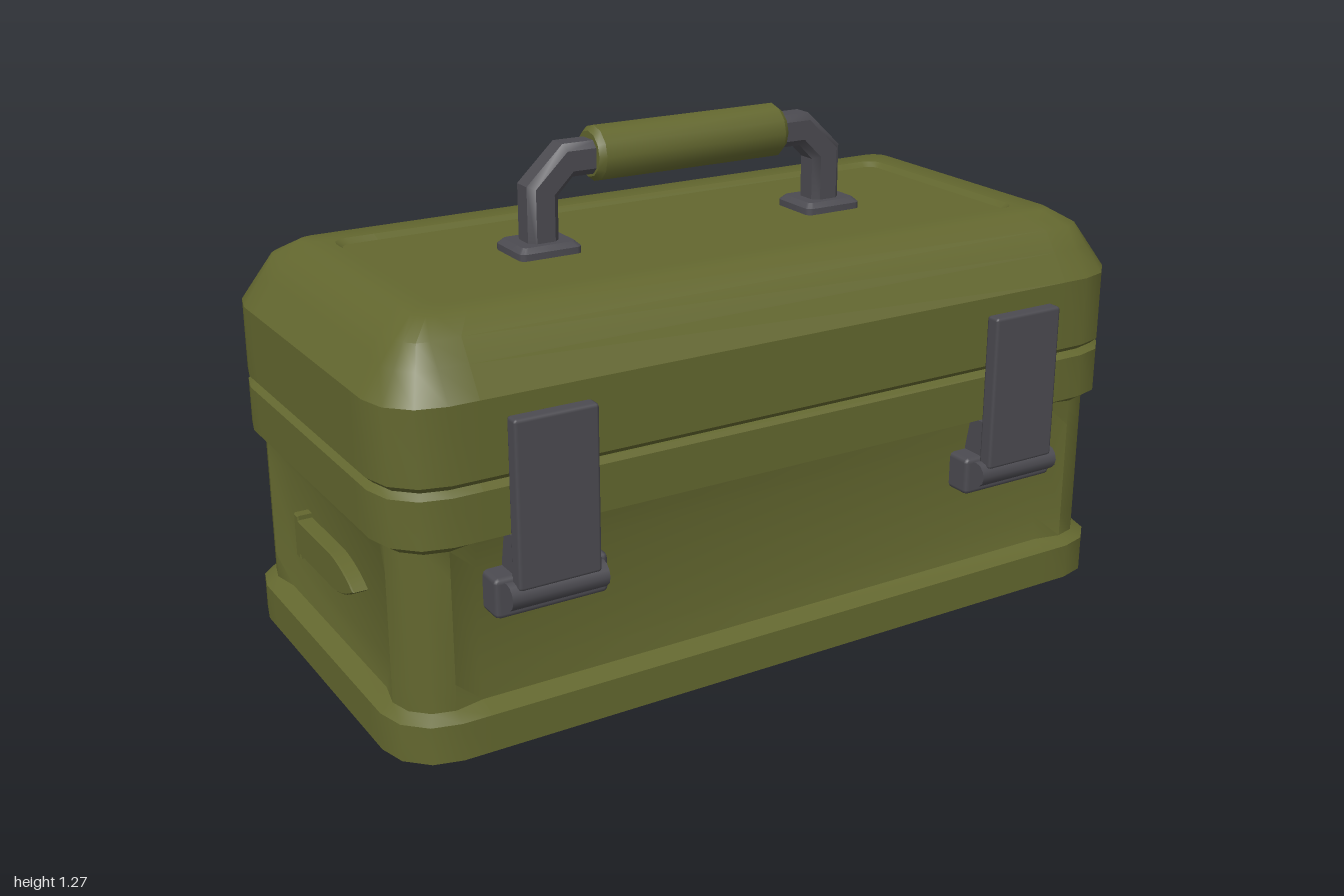
import * as THREE from 'three';
import { toCreasedNormals } from 'three/addons/utils/BufferGeometryUtils.js';
import { RoundedBoxGeometry } from 'three/addons/geometries/RoundedBoxGeometry.js';

const olive = new THREE.MeshStandardMaterial({ color: 0x63672f });
olive.name = 'olive paint';
const steel = new THREE.MeshStandardMaterial({ color: 0x4c4b51 });
steel.name = 'dark steel';

function add(parent, name, geometry, material, x = 0, y = 0, z = 0) {
  const mesh = new THREE.Mesh(geometry, material);
  mesh.name = name;
  mesh.position.set(x, y, z);
  parent.add(mesh);
  return mesh;
}

function group(parent, name, x = 0, y = 0, z = 0) {
  const g = new THREE.Group();
  g.name = name;
  g.position.set(x, y, z);
  parent.add(g);
  return g;
}

// Skin a list of equal-length point rings and close both ends
function loft(rings) {
  const n = rings[0].length, pos = [], index = [];
  rings.forEach(r => r.forEach(p => pos.push(...p)));
  for (let i = 0; i < rings.length - 1; i++) {
    for (let j = 0; j < n; j++) {
      const k = (j + 1) % n, a = i * n + j, b = i * n + k, c = b + n, d = a + n;
      index.push(a, d, c, a, c, b);
    }
  }
  [0, rings.length - 1].forEach((i, end) => {
    const centre = [0, 1, 2].map(c => rings[i].reduce((s, p) => s + p[c], 0) / n);
    const m = pos.length / 3;
    pos.push(...centre);
    for (let j = 0; j < n; j++) {
      const a = i * n + j, b = i * n + (j + 1) % n;
      if (end) index.push(m, b, a); else index.push(m, a, b);
    }
  });
  const g = new THREE.BufferGeometry();
  g.setAttribute('position', new THREE.Float32BufferAttribute(pos, 3));
  g.setIndex(index);
  return toCreasedNormals(g, 0.58);
}

// Rounded rectangle at height y; recess pushes the middle of each side inward
function rectRing(hx, hz, r, y, recess = 0) {
  const pts = [], step = 0.07;
  [[1, 1], [-1, 1], [-1, -1], [1, -1]].forEach(([sx, sz], q) => {
    const cx = sx * (hx - r), cz = sz * (hz - r);
    const a0 = q * Math.PI / 2, a1 = a0 + Math.PI / 2;
    const c0 = Math.cos(a0), s0 = Math.sin(a0), c1 = Math.cos(a1), s1 = Math.sin(a1);
    pts.push([cx + c0 * (r - recess) - c1 * step, y, cz + s0 * (r - recess) - s1 * step]);
    for (let i = 0; i <= 3; i++) {
      const a = a0 + i * Math.PI / 6;
      pts.push([cx + Math.cos(a) * r, y, cz + Math.sin(a) * r]);
    }
    pts.push([cx + c1 * (r - recess) - c0 * step, y, cz + s1 * (r - recess) - s0 * step]);
  });
  return pts;
}

// Profile entries are [inset, y, recess]
const shell = profile => profile.map(([inset, y, recess]) =>
  rectRing(1 - inset, 0.5 - inset, Math.max(0.135 - inset, 0.04), y, recess));

function cylinderX(r, length) {
  return toCreasedNormals(new THREE.CylinderGeometry(r, r, length, 12).rotateZ(Math.PI / 2), 0.6);
}

function addHandle(parent) {
  const handle = group(parent, 'handle');
  // Inner and outer outline of the bent arm, with a chamfered square section
  const bend = [[0.36, 0.99, 0.44, 0.99], [0.36, 1.12, 0.44, 1.15],
    [0.32, 1.16, 0.345, 1.24], [0.25, 1.16, 0.25, 1.24]];
  const section = [[1, -0.6], [1, 0.6], [0.6, 1], [-0.6, 1],
    [-1, 0.6], [-1, -0.6], [-0.6, -1], [0.6, -1]];
  const armGeometry = loft(bend.map(([ix, iy, ox, oy]) => section.map(([u, v]) =>
    [(ix + ox) / 2 + u * (ox - ix) / 2, (iy + oy) / 2 + u * (oy - iy) / 2, v * 0.04])));
  for (const turn of [0, Math.PI]) {
    const side = group(handle, 'handleSide');
    side.rotation.y = turn;
    add(side, 'handleArm', armGeometry, steel);
    add(side, 'handleFoot', loft([
      rectRing(0.08, 0.07, 0.015, 0.98), rectRing(0.08, 0.07, 0.015, 1.004),
      rectRing(0.068, 0.058, 0.012, 1.016)]), steel, 0.4);
  }
  const grip = [[0, -0.265], [0.055, -0.265], [0.067, -0.25],
    [0.067, 0.25], [0.055, 0.265], [0, 0.265]].map(p => new THREE.Vector2(...p));
  add(handle, 'handleGrip',
    toCreasedNormals(new THREE.LatheGeometry(grip, 12).rotateZ(Math.PI / 2), 0.6), olive, 0, 1.203, 0);
}

function addLatch(parent, x) {
  const latch = group(parent, 'latch', x);
  add(latch, 'latchPlate', new RoundedBoxGeometry(0.2, 0.39, 0.04, 1, 0.008), steel, 0, 0.615, 0.527);
  add(latch, 'latchBack', new THREE.BoxGeometry(0.18, 0.11, 0.1), steel, 0, 0.475, 0.484);
  add(latch, 'latchBracket', new RoundedBoxGeometry(0.275, 0.095, 0.08, 1, 0.012), steel, 0, 0.393, 0.467);
  add(latch, 'latchRoller', cylinderX(0.031, 0.235), steel, 0, 0.403, 0.518);
}

function addHinge(parent, x) {
  const hinge = group(parent, 'hinge', x);
  add(hinge, 'hingeBarrel', cylinderX(0.027, 0.225), steel, 0, 0.663, -0.529);
  for (const [y, screwY] of [[0.595, 0.567], [0.733, 0.761]]) {
    add(hinge, 'hingeLeaf', new RoundedBoxGeometry(0.24, 0.13, 0.035, 1, 0.008), steel, 0, y, -0.503);
    for (const sx of [-0.08, 0.08]) {
      const screw = add(hinge, 'hingeScrew', new THREE.SphereGeometry(0.018, 10, 6), steel, sx, screwY, -0.519);
      screw.scale.z = 0.6;
    }
  }
}

// Raised pointed emblem on each end wall
function addEmblem(parent, turn) {
  const s = new THREE.Shape();
  s.moveTo(-0.18, -0.053);
  s.lineTo(-0.16, -0.053);
  s.lineTo(-0.16, -0.042);
  s.lineTo(0.05, -0.042);
  s.quadraticCurveTo(0.12, -0.036, 0.18, 0);
  s.quadraticCurveTo(0.12, 0.036, 0.05, 0.042);
  s.lineTo(-0.16, 0.042);
  s.lineTo(-0.16, 0.053);
  s.lineTo(-0.18, 0.053);
  s.closePath();
  const geometry = new THREE.ExtrudeGeometry(s, { depth: 0.045, curveSegments: 6,
    bevelSize: 0.003, bevelThickness: 0.003, bevelSegments: 1 }).rotateY(Math.PI / 2);
  const side = group(parent, 'emblemSide');
  side.rotation.y = turn;
  add(side, 'emblem', toCreasedNormals(geometry, 0.5), olive, 0.93, 0.327, 0);
}

export function createModel() {
  const model = new THREE.Group();
  model.name = 'toolbox';
  const box = group(model, 'box', 0, 0, 0.007);

  // Base: plinth, recessed walls and upper rim
  add(box, 'base', loft(shell([
    [0.05, 0], [0, 0.03], [0, 0.12], [0.03, 0.138, 0.015], [0.03, 0.2, 0.028],
    [0.03, 0.45, 0.028], [0.03, 0.516, 0.015], [0, 0.537], [0, 0.648], [0.018, 0.662]])), olive);

  // Lid: rounded shoulders and a shallow panel sunk into the top
  add(box, 'lid', loft([
    ...shell([[0.018, 0.66], [0, 0.676], [0, 0.85], [0.045, 0.915], [0.08, 0.965], [0.135, 1]]),
    rectRing(0.8, 0.3, 0.04, 1), rectRing(0.785, 0.285, 0.03, 0.988)]), olive);

  addHandle(box);
  for (const x of [-0.642, 0.642]) {
    addLatch(box, x);
    addHinge(box, x);
  }
  for (const turn of [0, Math.PI]) addEmblem(box, turn);
  return model;
}
